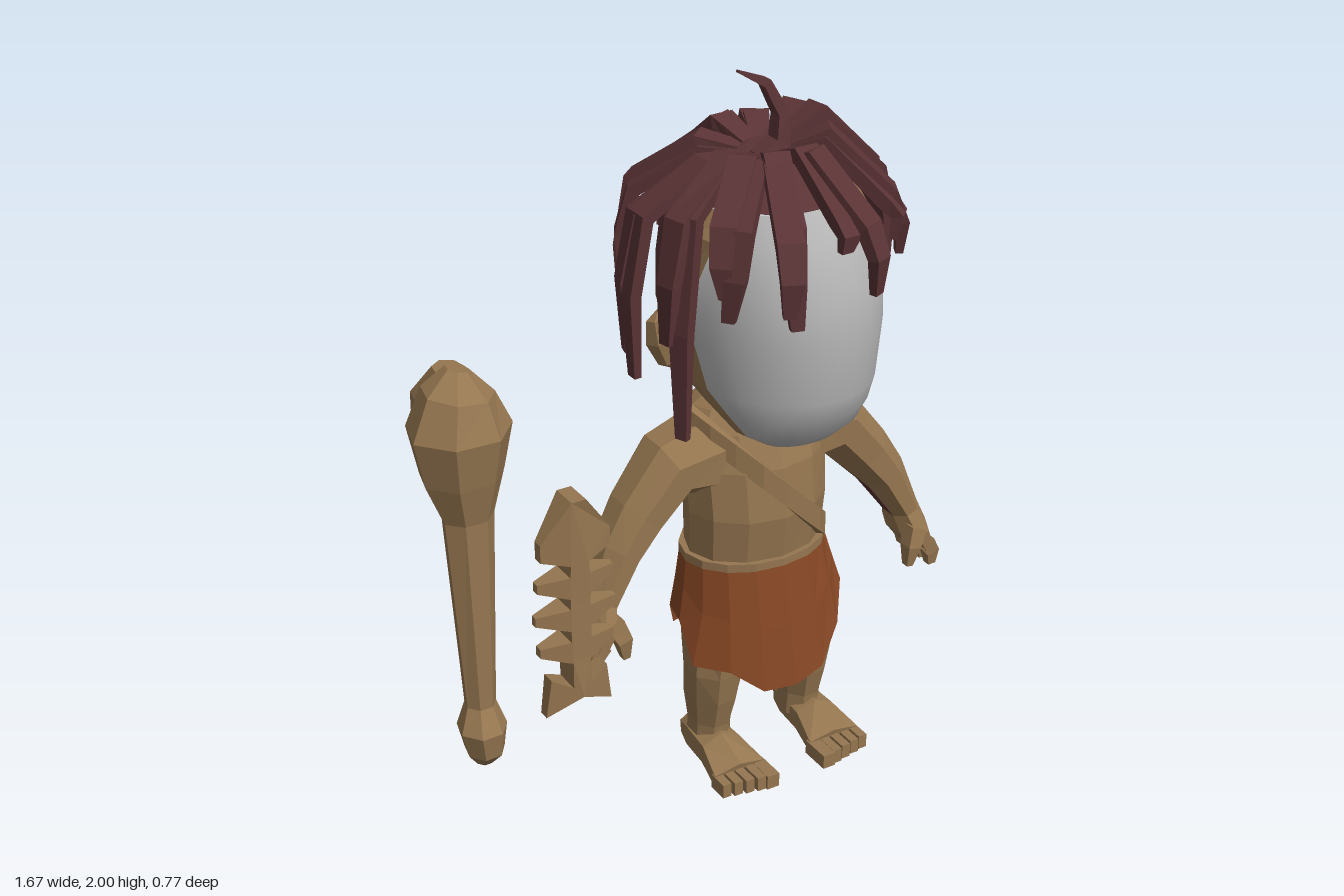
import * as THREE from 'three';
import { mergeVertices } from 'three/addons/utils/BufferGeometryUtils.js';

const V = (x, y, z) => new THREE.Vector3(x, y, z);

export function createModel() {
  const mat = (name, color, side = THREE.FrontSide) => {
    const m = new THREE.MeshStandardMaterial({ color, side });
    m.name = name;
    return m;
  };
  const skin = mat('tan skin', 0x957650);
  const hair = mat('dark red hair', 0x5a3335);
  const cloth = mat('rust cloth', 0x854624, THREE.DoubleSide);
  const faceGrey = mat('grey face', 0xb4b4b4);

  const model = new THREE.Group();
  const body = new THREE.Group();
  body.name = 'figure';
  body.position.x = 0.27;
  model.add(body);
  const add = (parent, name, geo, material) => {
    const m = new THREE.Mesh(geo, material);
    m.name = name;
    parent.add(m);
    return m;
  };

  // Skin over a list of point rings; pick() gives each face a material index.
  function loft(rings, { closed = true, caps = true, pick = () => 0 } = {}) {
    const sets = [[], []];
    const n = rings[0].length;
    const tri = (k, ...p) => p.forEach((q) => sets[k].push(q.x, q.y, q.z));
    for (let i = 0; i + 1 < rings.length; i++) {
      for (let j = 0; j < (closed ? n : n - 1); j++) {
        const a = rings[i][j], b = rings[i][(j + 1) % n], c = rings[i + 1][(j + 1) % n], d = rings[i + 1][j];
        const mid = a.clone().add(b).add(c).add(d).multiplyScalar(0.25);
        const k = pick(i, j, mid);
        tri(k, a, b, c);
        tri(k, a, c, d);
      }
    }
    if (caps) {
      [rings[0], rings.at(-1)].forEach((r, e) => {
        const c = r.reduce((s, p) => s.add(p), V(0, 0, 0)).divideScalar(n);
        r.forEach((p, j) => (e ? tri(0, c, p, r[(j + 1) % n]) : tri(0, c, r[(j + 1) % n], p)));
      });
    }
    const g = new THREE.BufferGeometry();
    g.setAttribute('position', new THREE.Float32BufferAttribute(sets.flat(), 3));
    g.addGroup(0, sets[0].length / 3, 0);
    if (sets[1].length) g.addGroup(sets[0].length / 3, sets[1].length / 3, 1);
    g.computeVertexNormals();
    return g;
  }

  // Solid along a path in the xy plane; points are [x, y, z, half width, half z].
  function limb(pts, n = 8, pick) {
    const k = 1 / Math.cos(Math.PI / n);
    const rings = pts.map(([x, y, z, a, b], i) => {
      const p = pts[Math.max(i - 1, 0)], q = pts[Math.min(i + 1, pts.length - 1)];
      const d = V(q[0] - p[0], q[1] - p[1], 0).normalize();
      return Array.from({ length: n }, (_, j) => {
        const t = ((j + 0.5) / n) * Math.PI * 2, s = a * k * Math.sin(t);
        return V(x + d.y * s, y - d.x * s, z + b * k * Math.cos(t));
      });
    });
    return loft(rings, { pick });
  }

  // Horizontal arc of points from a section [y, half width, front z, back z].
  const arc = ([y, w, f, b], from, to, n, closed) =>
    Array.from({ length: closed ? n : n + 1 }, (_, j) => {
      const t = from + ((to - from) * j) / n;
      return V(w * Math.sin(t), y, (f + b) / 2 + ((f - b) / 2) * Math.cos(t));
    });
  const loop = (row, n) => arc(row, 0, Math.PI * 2, n, true);

  // Adds a part on the left and its mirror image on the right.
  function pair(name, geo, material) {
    add(body, 'left' + name, geo, material);
    const g = geo.index ? geo.toNonIndexed() : geo.clone();
    g.scale(-1, 1, 1);
    const p = g.attributes.position;
    for (let i = 0; i < p.count; i += 3) {
      const b = V().fromBufferAttribute(p, i + 1), c = V().fromBufferAttribute(p, i + 2);
      p.setXYZ(i + 1, c.x, c.y, c.z);
      p.setXYZ(i + 2, b.x, b.y, b.z);
    }
    g.computeVertexNormals();
    add(body, 'right' + name, g, material);
  }

  // Torso and neck
  const torso = [
    [0.46, 0.16, 0.05, -0.17], [0.62, 0.198, 0.09, -0.205], [0.78, 0.205, 0.11, -0.21],
    [0.92, 0.21, 0.09, -0.21], [1.02, 0.21, 0.05, -0.215], [1.075, 0.17, 0.02, -0.205],
    [1.12, 0.1, 0, -0.185], [1.24, 0.085, -0.01, -0.16],
  ];
  add(body, 'torso', loft(torso.map((r) => loop(r, 12))), skin);

  // Diagonal sash and belt
  const section = (y) => {
    const i = torso.findIndex((r) => r[0] >= y), a = torso[i - 1], b = torso[i];
    return a.map((v, k) => v + ((b[k] - v) * (y - a[0])) / (b[0] - a[0]));
  };
  const band = (n, yAt, half, out, w) => {
    const rings = [];
    for (let i = 0; i <= n; i++) {
      const t = (i / n) * Math.PI * 2, y = yAt(Math.sin(t));
      const [, , f, b] = section(y);
      rings.push([[1, 1], [-1, 1], [-1, -1], [1, -1]].map(([u, v]) => {
        const o = v > 0 ? out : -0.01;
        return V((w + o) * Math.sin(t), y + u * half, (f + b) / 2 + ((f - b) / 2 + o) * Math.cos(t));
      }));
    }
    return loft(rings, { caps: false });
  };
  add(body, 'sash', band(20, (s) => 0.85 - 0.21 * s, 0.035, 0.014, 0.2), skin);
  add(body, 'belt', band(16, () => 0.642, 0.012, 0.014, 0.2), skin);

  // Loincloth with a ragged hem, long at front and back
  const hemY = [0.29, 0.31, 0.4, 0.49, 0.49, 0.46, 0.35, 0.33, 0.33, 0.33, 0.35, 0.46, 0.46, 0.36, 0.35, 0.29];
  const hem = loop([0, 0.245, 0.18, -0.25], 16);
  hem.forEach((p, j) => (p.y = hemY[j]));
  hem[13].x -= 0.025;
  const waist = [loop([0.5, 0.226, 0.145, -0.235], 16), loop([0.64, 0.21, 0.105, -0.22], 16)];
  waist[0].forEach((p, j) => (p.y = (hemY[j] + 0.64) / 2));
  add(body, 'loincloth', loft([hem, ...waist], { caps: false }), cloth);

  // Arms with dark inner forearms, fingers and thumb
  const arm = [
    [0.13, 0.94, -0.08, 0.12, 0.115], [0.26, 0.93, -0.075, 0.09, 0.1], [0.355, 0.82, -0.07, 0.075, 0.087],
    [0.42, 0.735, -0.06, 0.062, 0.078], [0.485, 0.61, -0.04, 0.042, 0.062], [0.505, 0.55, -0.035, 0.044, 0.09],
    [0.53, 0.495, -0.033, 0.03, 0.086],
  ];
  pair('Arm', limb(arm, 8, (i, j) => (i >= 2 && i <= 3 && j >= 1 && j <= 2 ? 1 : 0)), [skin, hair]);
  for (let k = 0; k < 4; k++) {
    const z = -0.1 + k * 0.044;
    pair('Finger', limb([[0.525, 0.51, z, 0.024, 0.019], [0.547, 0.475, z, 0.02, 0.018], [0.548, 0.435, z, 0.012, 0.012]], 4), skin);
  }
  pair('Thumb', limb([[0.49, 0.57, 0.03, 0.026, 0.025], [0.468, 0.52, 0.045, 0.021, 0.022], [0.46, 0.46, 0.045, 0.01, 0.012]], 4), skin);

  // Legs, feet and toes
  pair('Leg', limb([
    [0.12, 0.58, -0.05, 0.065, 0.08], [0.145, 0.42, -0.022, 0.077, 0.108], [0.147, 0.3, -0.01, 0.078, 0.083],
    [0.148, 0.21, -0.025, 0.068, 0.083], [0.15, 0.12, -0.03, 0.054, 0.065], [0.15, 0.05, -0.035, 0.055, 0.063],
  ]), skin);
  pair('Foot', limb([
    [-0.115, 0.045, 0, 0.032, 0.035], [-0.06, 0.053, 0, 0.052, 0.05], [0.04, 0.05, 0, 0.048, 0.058],
    [0.14, 0.03, 0, 0.028, 0.08],
  ], 6).rotateY(-Math.PI / 2).translate(0.157, 0, 0), skin);
  for (let k = 0; k < 5; k++) {
    const len = 0.09 - k * 0.007;
    pair('Toe', new THREE.BoxGeometry(k ? 0.026 : 0.038, 0.042, len).translate(0.093 + k * 0.033, 0.023, 0.127 + len / 2), skin);
  }

  // Head: smooth face front, faceted skull, hair-covered crown
  const head = [
    [1.045, 0.03, 0.2, 0.14, 60], [1.06, 0.11, 0.225, 0.1, 65], [1.1, 0.18, 0.265, 0, 72],
    [1.16, 0.22, 0.3, -0.12, 74], [1.22, 0.25, 0.322, -0.27, 76], [1.37, 0.272, 0.333, -0.335, 80],
    [1.5, 0.276, 0.318, -0.325, 75], [1.62, 0.26, 0.262, -0.3, 63], [1.69, 0.225, 0.2, -0.25, 50],
  ];
  const rad = Math.PI / 180;
  const face = loft(head.map((r) => arc(r, -r[4] * rad, r[4] * rad, 14)), { closed: false, caps: false });
  face.deleteAttribute('normal');
  const smoothFace = mergeVertices(face);
  smoothFace.computeVertexNormals();
  add(body, 'face', smoothFace, faceGrey);
  add(body, 'skull', loft(head.map((r) => arc(r, r[4] * rad, (360 - r[4]) * rad, 14)), {
    closed: false, caps: false,
    pick: (i, j, c) => (c.y > 1.37 && c.z < (c.y > 1.64 ? 0.06 : -0.05) ? 1 : 0),
  }), [skin, hair]);
  add(body, 'chinUnderside', loft([loop([1.042, 0.015, 0.18, 0.16], 14), loop(head[0], 14)]), skin);
  add(body, 'crown', loft([loop(head[8], 14), loop([1.76, 0.14, 0.08, -0.15], 14), loop([1.79, 0.04, -0.01, -0.08], 14)]), hair);
  pair('Ear', new THREE.SphereGeometry(1, 6, 4).toNonIndexed().scale(0.055, 0.09, 0.032)
    .rotateZ(-0.25).rotateY(0.35).translate(0.285, 1.32, -0.03), skin);

  // Dreadlocks: [compass angle from the front, reach, tip height, sideways swing]
  const locks = [
    [-24, 0.41, 1.5, -0.01], [-15, 0.35, 1.44, 0.03], [-42, 0.35, 1.52, 0.04], [3, 0.31, 1.6, -0.04],
    [24, 0.36, 1.48, 0.03], [45, 0.34, 1.56, -0.04], [62, 0.35, 1.5, 0.03], [78, 0.345, 1.43, -0.02],
    [98, 0.345, 1.45, 0.04], [114, 0.37, 1.36, -0.03], [130, 0.38, 1.2, 0.03], [146, 0.36, 1.4, -0.05],
    [165, 0.33, 1.5, 0.05], [183, 0.32, 1.42, -0.04], [203, 0.33, 1.48, 0.05], [222, 0.36, 1.3, -0.03],
    [240, 0.355, 1.4, 0.04], [256, 0.37, 1.28, -0.03], [270, 0.37, 1.23, 0.02], [283, 0.35, 1.36, -0.03],
    [295, 0.33, 1.1, 0.02], [309, 0.35, 1.46, -0.05],
  ];
  locks.forEach(([angle, r, tip, swing], i) => {
    const wob = Math.sin(i * 7.3) * 0.018, drop = 1.68 - tip;
    const peak = 1.805 + 0.03 * Math.sin(angle * rad) + wob;
    const g = limb([
      [0.02, 1.76, 0, 0.015, 0.02], [r * 0.45, peak, swing * 0.6, 0.017, 0.034],
      [r * 0.92, 1.67 + wob, swing, 0.018, 0.034], [r * 1.01, 1.68 - drop * 0.5, swing, 0.016, 0.028],
      [r * (1 + wob), tip, swing * 0.7, 0.01, 0.017],
    ], 4);
    add(body, 'dreadlock', g.rotateY((angle - 90) * rad).translate(-0.005, 0, -0.03), hair);
  });
  add(body, 'topTuft', limb([
    [-0.05, 1.77, 0.03, 0.03, 0.025], [0.01, 1.81, 0.02, 0.022, 0.022], [0.018, 1.88, 0.01, 0.016, 0.02],
    [-0.02, 1.96, -0.005, 0.012, 0.016], [-0.09, 1.995, -0.02, 0.003, 0.005],
  ], 4), hair);

  // Bone club with a double knob
  const club = new THREE.Group();
  club.name = 'boneClub';
  model.add(club);
  add(club, 'clubShaft', limb([
    [-0.7, 0.43, 0.23, 0.02, 0.02], [-0.7, 0.47, 0.235, 0.045, 0.05], [-0.705, 0.54, 0.235, 0.057, 0.06],
    [-0.7, 0.6, 0.22, 0.036, 0.036], [-0.7, 1.12, 0.2, 0.06, 0.05], [-0.705, 1.23, 0.19, 0.095, 0.085],
    [-0.707, 1.35, 0.19, 0.118, 0.105], [-0.7, 1.44, 0.18, 0.08, 0.08], [-0.69, 1.49, 0.16, 0.025, 0.03],
  ], 7), skin);
  add(club, 'clubKnob', limb([
    [-0.69, 1.2, 0.14, 0.04, 0.04], [-0.69, 1.3, 0.1, 0.08, 0.085], [-0.69, 1.39, 0.095, 0.075, 0.09],
    [-0.69, 1.47, 0.12, 0.035, 0.05],
  ], 7), skin);

  // Fish skeleton: half outline mirrored, thinner towards the edges
  const half = [[0.095, 0.45], [0.08, 0.56], [0.025, 0.53], [0.025, 0.61]];
  [[0.64, 0.105], [0.735, 0.115], [0.83, 0.108]].forEach(([y, w]) =>
    half.push([0.028, y - 0.035], [w, y - 0.008], [w, y + 0.018], [0.028, y + 0.028]));
  half.push([0.025, 0.89], [0.098, 0.91], [0.098, 0.96], [0.02, 1.07]);
  const outline = [[0, 0.5], ...half, ...half.slice().reverse().map(([x, y]) => [-x, y])];
  const fish = new THREE.ExtrudeGeometry(new THREE.Shape(outline.map(([x, y]) => new THREE.Vector2(x, y))), { depth: 1, bevelEnabled: false });
  const fp = fish.attributes.position;
  for (let i = 0; i < fp.count; i++) {
    fp.setZ(i, (fp.getZ(i) - 0.5) * 0.09 * (1 - (0.8 * Math.abs(fp.getX(i))) / 0.115));
  }
  fish.computeVertexNormals();
  add(model, 'fishSkeleton', fish.translate(-0.4, 0, 0.16), skin);

  return model;
}
